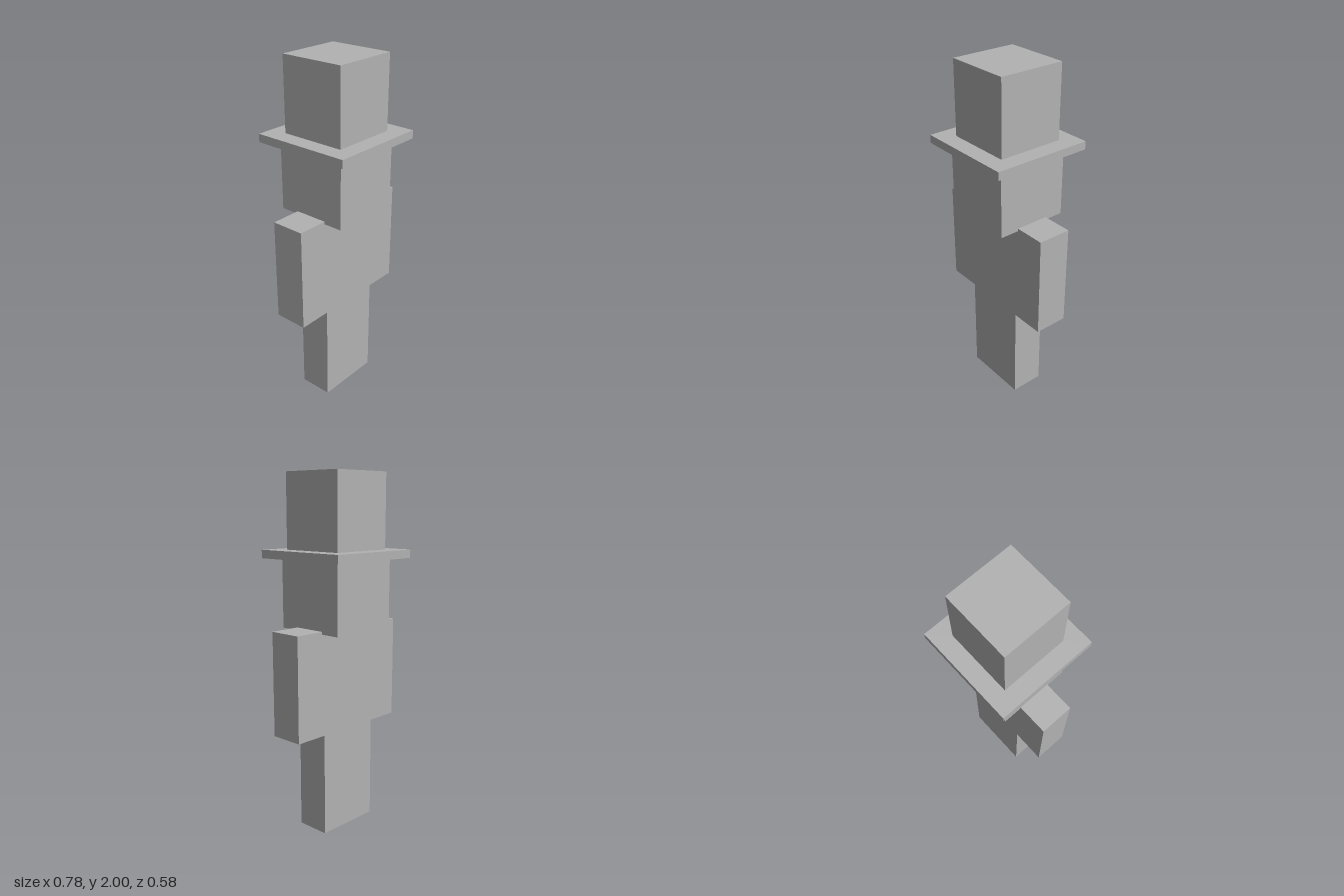
import * as THREE from 'three';

export function createModel() {
  const model = new THREE.Group();
  const grey = new THREE.MeshStandardMaterial({ color: 0xb2b2b2 });
  grey.name = 'grey';

  // Adds a box spanning y0..y1, centred on z = 0
  function block(name, width, depth, y0, y1, x = 0) {
    const mesh = new THREE.Mesh(new THREE.BoxGeometry(width, y1 - y0, depth), grey);
    mesh.name = name;
    mesh.position.set(x, (y0 + y1) / 2, 0);
    model.add(mesh);
  }

  const limb = 0.194; // width and depth of each limb

  // Legs and arms, mirrored
  for (const [side, s] of [['left', 1], ['right', -1]]) {
    block(side + 'Leg', limb, limb, 0, 0.585, s * limb / 2);
    block(side + 'Arm', limb, limb, 0.585, 1.168, s * limb * 1.5);
  }

  // Body and head
  block('torso', limb * 2, limb, 0.585, 1.168);
  block('head', 0.418, 0.418, 1.153, 1.56);

  // Top hat
  block('hatBrim', 0.576, 0.576, 1.54, 1.586);
  block('hatCrown', 0.38, 0.38, 1.586, 2);

  return model;
}
